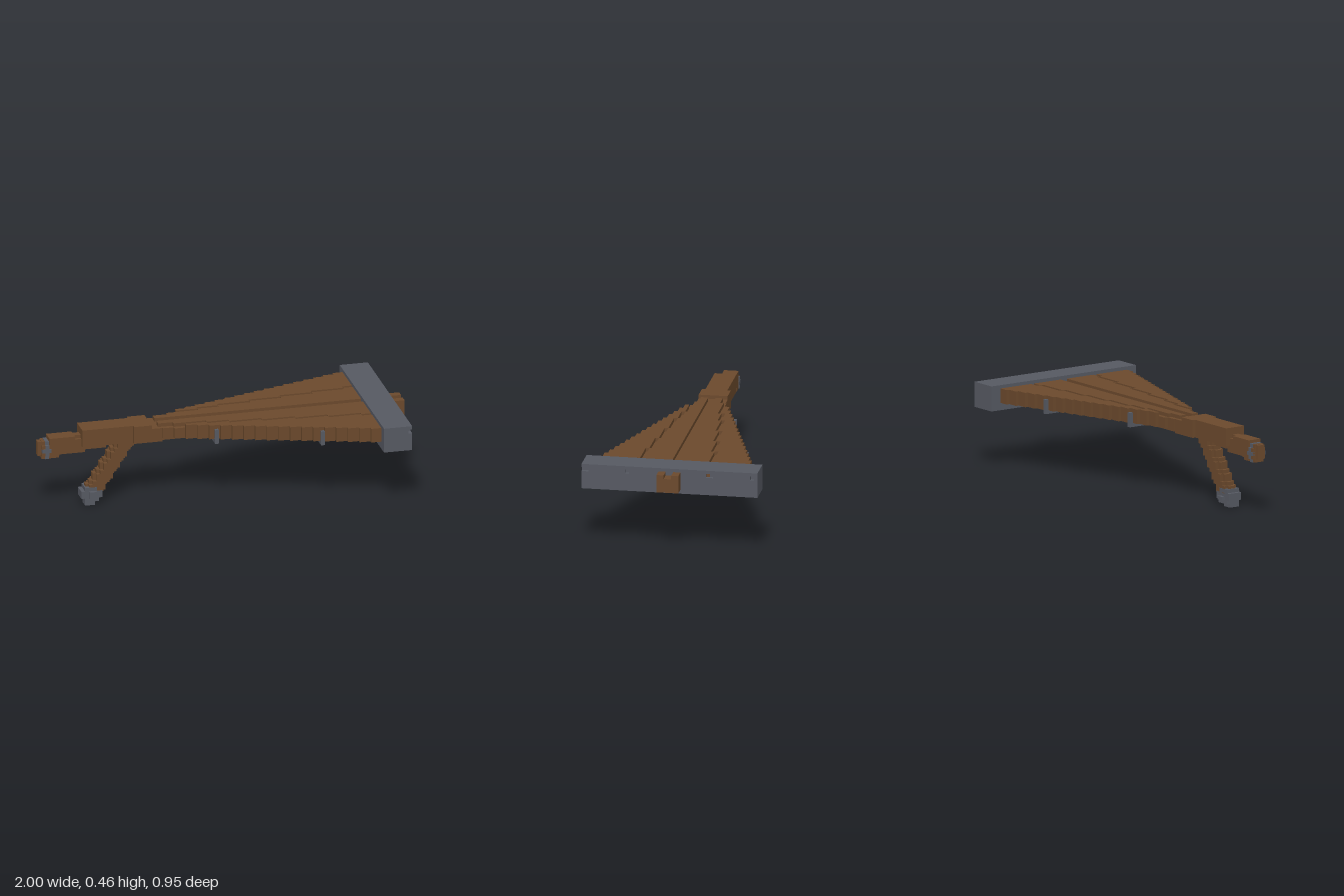
import * as THREE from 'three';

export function createModel() {
  const model = new THREE.Group();
  const wood = new THREE.MeshStandardMaterial({ color: 0x6b492c });
  wood.name = 'brown wood';
  const metal = new THREE.MeshStandardMaterial({ color: 0x565962 });
  metal.name = 'grey metal';

  const group = (name) => {
    const g = new THREE.Group();
    g.name = name;
    model.add(g);
    return g;
  };
  // Box given by its extents
  const box = (parent, name, mat, x0, x1, y0, y1, z0, z1) => {
    const m = new THREE.Mesh(new THREE.BoxGeometry(x1 - x0, y1 - y0, z1 - z0), mat);
    m.position.set((x0 + x1) / 2, (y0 + y1) / 2, (z0 + z1) / 2);
    m.name = name;
    parent.add(m);
  };
  const snap = (v) => Math.round(v / 0.0195) * 0.0195;

  // Central beam with a groove along the top
  const beam = group('beam');
  box(beam, 'beamCore', wood, -0.39, 1, 0.342, 0.418, -0.059, 0.059);
  for (const s of [-1, 1]) {
    const a = s * 0.02, b = s * 0.059;
    box(beam, 'grooveSide', wood, -0.35, 1, 0.418, 0.438, Math.min(a, b), Math.max(a, b));
  }
  box(beam, 'rearBeam', wood, -0.765, -0.39, 0.342, 0.438, -0.059, 0.059);
  box(beam, 'lockBlock', wood, -0.487, -0.39, 0.342, 0.438, -0.078, 0.078);
  box(beam, 'lockBlockFront', wood, -0.39, -0.33, 0.342, 0.418, -0.078, 0.078);
  box(beam, 'lowerStep', wood, -0.745, -0.63, 0.322, 0.342, -0.039, 0.039);

  // Rear grip
  const grip = group('rearGrip');
  box(grip, 'gripNeck', wood, -0.80, -0.745, 0.322, 0.40, -0.02, 0.02);
  box(grip, 'gripNeckLower', wood, -0.885, -0.745, 0.305, 0.382, -0.035, 0.035);
  box(grip, 'gripTop', wood, -0.94, -0.80, 0.322, 0.40, -0.039, 0.039);
  box(grip, 'gripBottom', wood, -0.98, -0.885, 0.285, 0.382, -0.028, 0.028);
  box(grip, 'gripEnd', wood, -1, -0.98, 0.302, 0.38, -0.02, 0.02);
  box(grip, 'gripSides', wood, -0.98, -0.885, 0.302, 0.362, -0.039, 0.039);
  box(grip, 'gripRing', metal, -0.962, -0.942, 0.283, 0.384, -0.03, 0.03);
  box(grip, 'gripRingSides', metal, -0.962, -0.942, 0.302, 0.364, -0.043, 0.043);
  box(grip, 'gripPin', metal, -0.98, -0.93, 0.322, 0.342, -0.043, 0.043);

  // Stepped fan: a flat inner board and an outer board, parted by a shallow groove
  const fan = group('fan');
  const x0 = -0.33, x1 = 0.785, n = 19, w = (x1 - x0) / n;
  for (let i = 0; i < n; i++) {
    const a = x0 + i * w, b = a + w, t = i / (n - 1);
    const outer = 0.083 + 0.332 * t;
    const seam = snap(0.066 + 0.125 * t);
    box(fan, 'fanBoard', wood, a, b, 0.36, 0.418, -outer, outer);
    for (const s of [-1, 1]) {
      const strip = (name, p, q) =>
        box(fan, name, wood, a, b, 0.418, 0.438, Math.min(s * p, s * q), Math.max(s * p, s * q));
      if (seam > 0.06) strip('innerBoard', 0.059, seam);
      if (outer > seam + 0.025) strip('outerBoard', seam + 0.02, outer);
    }
  }

  // Cross rods below the fan, with clips at its edges
  for (const [x, reach] of [[-0.06, 0.185], [0.48, 0.345]]) {
    for (const s of [-1, 1]) {
      const a = s * 0.05, b = s * reach, c = s * (reach - 0.02);
      box(fan, 'crossRod', metal, x - 0.01, x + 0.01, 0.342, 0.362, Math.min(a, b), Math.max(a, b));
      box(fan, 'rodClip', metal, x - 0.01, x + 0.01, 0.342, 0.42, Math.min(c, b), Math.max(c, b));
    }
  }

  // Front crossbar: solid core and a pierced face plate
  const bar = group('crossbar');
  box(bar, 'barCore', metal, 0.781, 0.915, 0.32, 0.456, -0.474, 0.474);
  const face = new THREE.Shape();
  [[-0.474, 0.32], [0.474, 0.32], [0.474, 0.456], [-0.474, 0.456], [-0.474, 0.438],
    [-0.437, 0.438], [-0.437, 0.416], [-0.474, 0.416]]
    .forEach(([x, y], i) => (i ? face.lineTo(x, y) : face.moveTo(x, y)));
  for (const [z0, z1] of [[0.219, 0.238], [-0.235, -0.196], [-0.455, -0.435]]) {
    const hole = new THREE.Path();
    hole.moveTo(-z1, 0.416).lineTo(-z1, 0.438).lineTo(-z0, 0.438).lineTo(-z0, 0.416);
    hole.closePath();
    face.holes.push(hole);
  }
  const plate = new THREE.Mesh(
    new THREE.ExtrudeGeometry(face, { depth: 0.02, bevelEnabled: false }).rotateY(Math.PI / 2), metal);
  plate.position.x = 0.915;
  plate.name = 'barFace';
  bar.add(plate);
  box(bar, 'woodPeg', wood, 0.913, 0.92, 0.416, 0.438, -0.216, -0.196);

  // Slanted lower handle built of stacked slices
  const handle = group('lowerHandle');
  const h = 0.0195;
  for (let i = 0; i < 14; i++) {
    const y = 0.075 + i * h;
    const cx = snap(-0.71 + 0.66 * (y - 0.04));
    box(handle, 'handleCore', wood, cx - 0.055, cx + 0.055, y, y + h, -0.02, 0.02);
    box(handle, 'handleSides', wood, cx - 0.038, cx + 0.038, y, y + h, -0.039, 0.039);
  }

  // Metal foot of the handle
  const foot = group('foot');
  box(foot, 'footBottom', metal, -0.745, -0.69, 0, 0.02, -0.02, 0.039);
  box(foot, 'footLower', metal, -0.745, -0.67, 0.02, 0.04, -0.039, 0.039);
  box(foot, 'footMiddle', metal, -0.765, -0.65, 0.04, 0.08, -0.039, 0.039);
  box(foot, 'footTop', metal, -0.745, -0.68, 0.08, 0.1, -0.04, 0.04);
  box(foot, 'footKnobLeft', metal, -0.725, -0.685, 0.04, 0.08, 0.039, 0.059);
  box(foot, 'footKnobRight', metal, -0.725, -0.685, 0.04, 0.06, -0.059, -0.039);

  return model;
}
